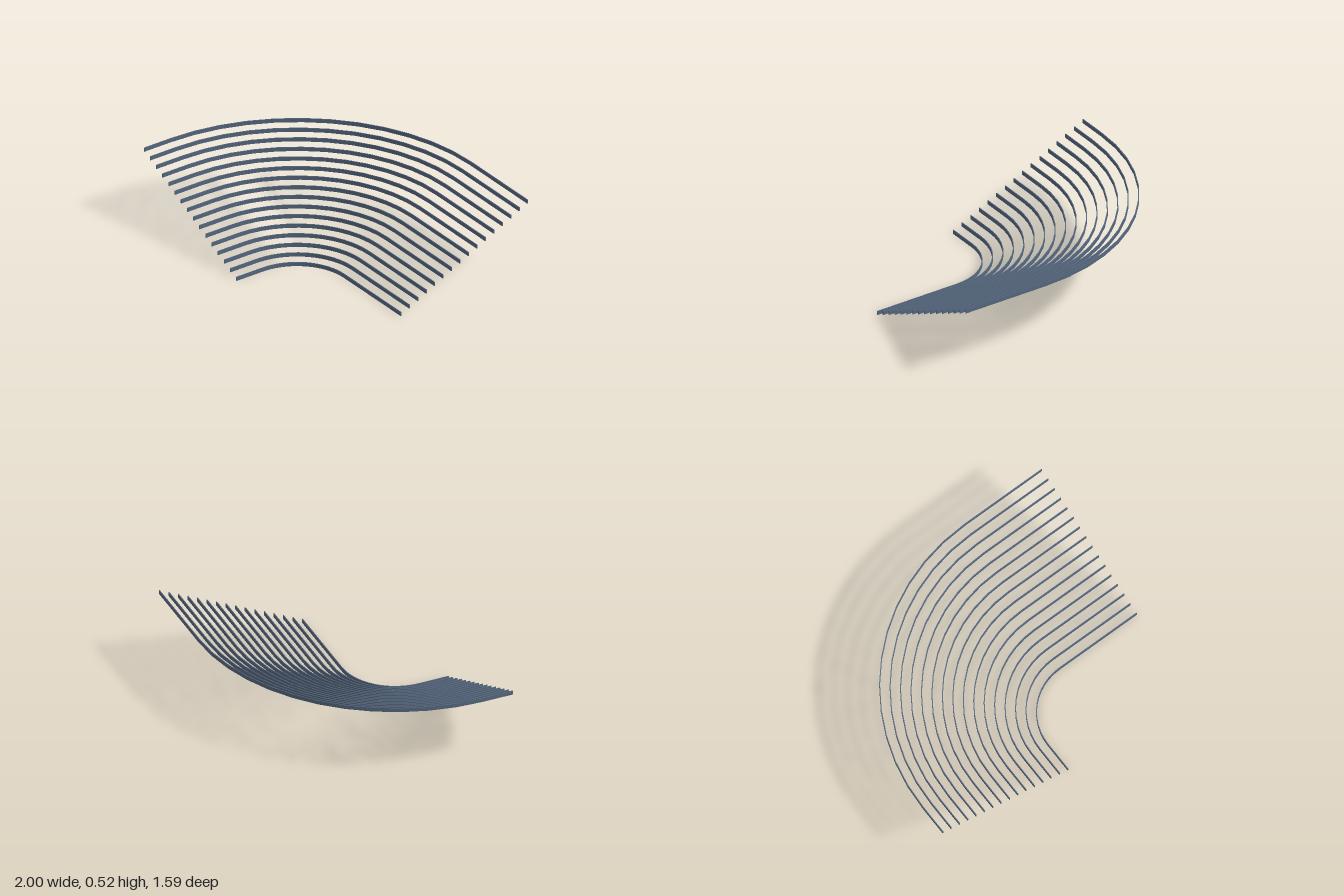
import * as THREE from 'three';
import { toCreasedNormals } from 'three/addons/utils/BufferGeometryUtils.js';

const ROWS = 16, STEP = 0.067, RISE = 0.0328, HEIGHT = 0.028, THICK = 0.006;
const CX = 0.38, CZ = 0.585;      // shared centre of all the bends
const END_X = 1, END_Z = 0.795;   // where the straight runs stop
const BEND_SEGMENTS = 12;

// Plan line of one row: side run, quarter bend, back run (shape y = -z)
function planLine(radius) {
  const points = [new THREE.Vector2(CX - radius, -END_Z)];
  for (let i = 0; i <= BEND_SEGMENTS; i++) {
    const a = (i / BEND_SEGMENTS) * Math.PI / 2;
    points.push(new THREE.Vector2(CX - radius * Math.cos(a), -CZ + radius * Math.sin(a)));
  }
  points.push(new THREE.Vector2(END_X, -CZ + radius));
  return points;
}

// Thin upright band standing on its plan line
function bandGeometry(radius) {
  const outline = [...planLine(radius), ...planLine(radius - THICK).reverse()];
  const geometry = new THREE.ExtrudeGeometry(new THREE.Shape(outline), { depth: HEIGHT, bevelEnabled: false });
  geometry.rotateX(-Math.PI / 2);
  return toCreasedNormals(geometry, Math.PI / 6);
}

export function createModel() {
  const model = new THREE.Group();
  model.name = 'curvedTiers';
  const slate = new THREE.MeshStandardMaterial({ color: 0x56687f });
  slate.name = 'slateBlue';

  // Each row is wider and higher than the one in front
  for (let i = 0; i < ROWS; i++) {
    const band = new THREE.Mesh(bandGeometry(0.375 + i * STEP), slate);
    band.name = `tierBand${i + 1}`;
    band.position.y = i * RISE;
    model.add(band);
  }
  return model;
}
